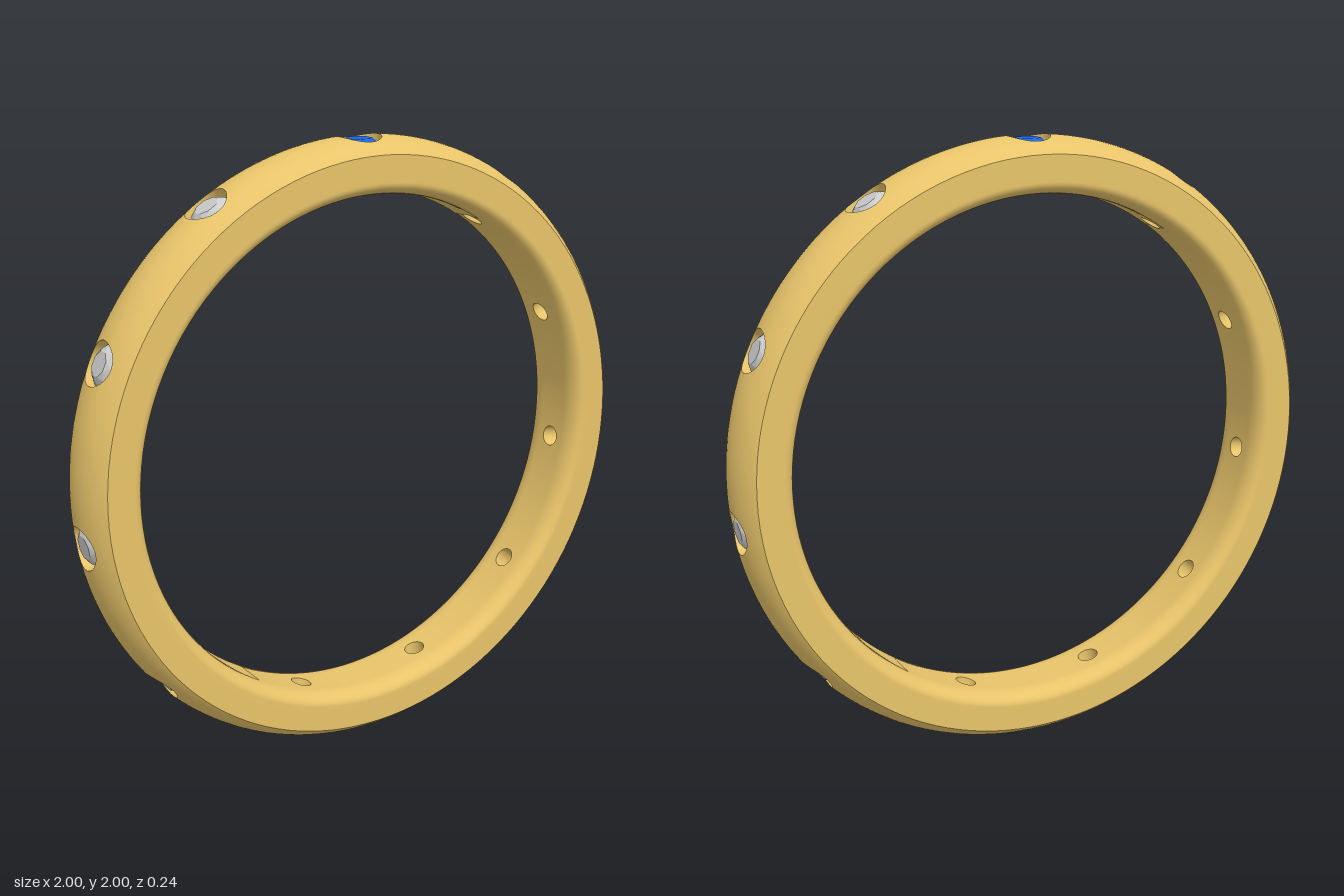
import * as THREE from 'three';
import { mergeGeometries } from 'three/addons/utils/BufferGeometryUtils.js';
import { ConvexGeometry } from 'three/addons/geometries/ConvexGeometry.js';
import { ParametricGeometry } from 'three/addons/geometries/ParametricGeometry.js';

const STONES = 11;
const SECTOR = (2 * Math.PI) / STONES;
const AROUND = 48; // steps around each hole
const HALF = 0.12; // half width of the band
const INNER = 0.825, FILLET_R = 0.04, FILLET_Z = 0.06;
const DOME = 0.169; // radius of the domed outer profile
const HOLE = 0.07, BORE = 0.034;

const outerRadius = (z) => 1 - DOME + Math.sqrt(DOME * DOME - z * z);
const innerRadius = () => INNER;

// Triangle wave clamped so that two of them trace a square
function side(u) {
  const w = u - Math.floor(u);
  return THREE.MathUtils.clamp(2 * (Math.abs(w - 0.5) * 4 - 1), -1, 1);
}

// One sector of a band surface, spreading from a round hole to the sector's edges
function sectorSurface(radiusAt, hole, halfWidth, dir) {
  return new ParametricGeometry((u, v, target) => {
    const a = dir * u, phi = a * 2 * Math.PI;
    const z = THREE.MathUtils.lerp(hole * Math.sin(phi), halfWidth * side(a - 0.25), v);
    const r = radiusAt(z);
    const theta = THREE.MathUtils.lerp(Math.asin((hole * Math.cos(phi)) / r), (SECTOR / 2) * side(a), v);
    target.set(r * Math.sin(theta), r * Math.cos(theta), z);
  }, AROUND, 12);
}

// Hole wall between two levels; a level is a height or a function of (x, z)
function holeWall(r0, h0, r1, h1) {
  const level = (h, x, z) => (typeof h === 'function' ? h(x, z) : h);
  return new ParametricGeometry((u, v, target) => {
    const c = Math.cos(u * 2 * Math.PI), s = Math.sin(u * 2 * Math.PI);
    const y = THREE.MathUtils.lerp(level(h0, r0 * c, r0 * s), level(h1, r1 * c, r1 * s), v);
    const r = THREE.MathUtils.lerp(r0, r1, v);
    target.set(r * c, y, r * s);
  }, AROUND, 1);
}

// Flat side of the band with its rounded inner edge
function bandSide() {
  const profile = [];
  for (let i = 0; i <= 10; i++) {
    const a = (i / 10) * Math.PI / 2;
    profile.push(new THREE.Vector2(
      INNER + FILLET_R * (1 - Math.cos(a)),
      -(HALF - FILLET_Z + FILLET_Z * Math.sin(a))
    ));
  }
  profile.push(new THREE.Vector2(0.88, -HALF), new THREE.Vector2(0.95, -HALF));
  return new THREE.LatheGeometry(profile, STONES * AROUND / 4).rotateX(-Math.PI / 2);
}

// Round brilliant-cut stone: table, crown, girdle and pavilion
function stoneGeometry() {
  const points = [new THREE.Vector3(0, 0.9, 0)];
  const ring = (n, r, y, turn = 0) => {
    for (let i = 0; i < n; i++) {
      const a = ((i + turn) / n) * 2 * Math.PI;
      points.push(new THREE.Vector3(r * Math.cos(a), y, r * Math.sin(a)));
    }
  };
  ring(8, 0.04, 0.99, 0.5);
  ring(8, 0.057, 0.978);
  ring(16, 0.068, 0.966);
  ring(16, 0.068, 0.962);
  ring(8, 0.035, 0.929, 0.5);
  return new ConvexGeometry(points);
}

export function createModel() {
  const model = new THREE.Group();
  model.name = 'ring';
  const gold = new THREE.MeshStandardMaterial({ color: 0xe8c46a });
  const grey = new THREE.MeshStandardMaterial({ color: 0xcccccc, flatShading: true });
  const blue = new THREE.MeshStandardMaterial({ color: 0x1a66e0, flatShading: true });

  const outerRim = (x, z) => Math.sqrt(outerRadius(z) ** 2 - x * x);
  const innerRim = (x) => Math.sqrt(INNER * INNER - x * x);

  // Band sector: outside, inside, and the stepped hole joining them
  const sector = mergeGeometries([
    sectorSurface(outerRadius, HOLE, HALF, 1),
    sectorSurface(innerRadius, BORE, HALF - FILLET_Z, -1),
    holeWall(BORE, innerRim, BORE, 0.9),
    holeWall(BORE, 0.9, HOLE, 0.95),
    holeWall(HOLE, 0.95, HOLE, outerRim),
  ]);
  const stone = stoneGeometry();

  for (let i = 0; i < STONES; i++) {
    const setting = new THREE.Group();
    setting.name = `setting${i + 1}`;
    setting.rotation.z = -i * SECTOR;
    const band = new THREE.Mesh(sector, gold);
    band.name = 'bandSector';
    const gem = new THREE.Mesh(stone, i === 0 ? blue : grey);
    gem.name = i === 0 ? 'blueStone' : 'clearStone';
    setting.add(band, gem);
    model.add(setting);
  }

  // Front and back sides of the band
  const sideGeometry = bandSide();
  ['frontSide', 'backSide'].forEach((name, i) => {
    const mesh = new THREE.Mesh(sideGeometry, gold);
    mesh.name = name;
    mesh.rotation.y = i * Math.PI;
    model.add(mesh);
  });

  // Stand the ring on the ground
  model.children.forEach((part) => { part.position.y = 1; });
  return model;
}
